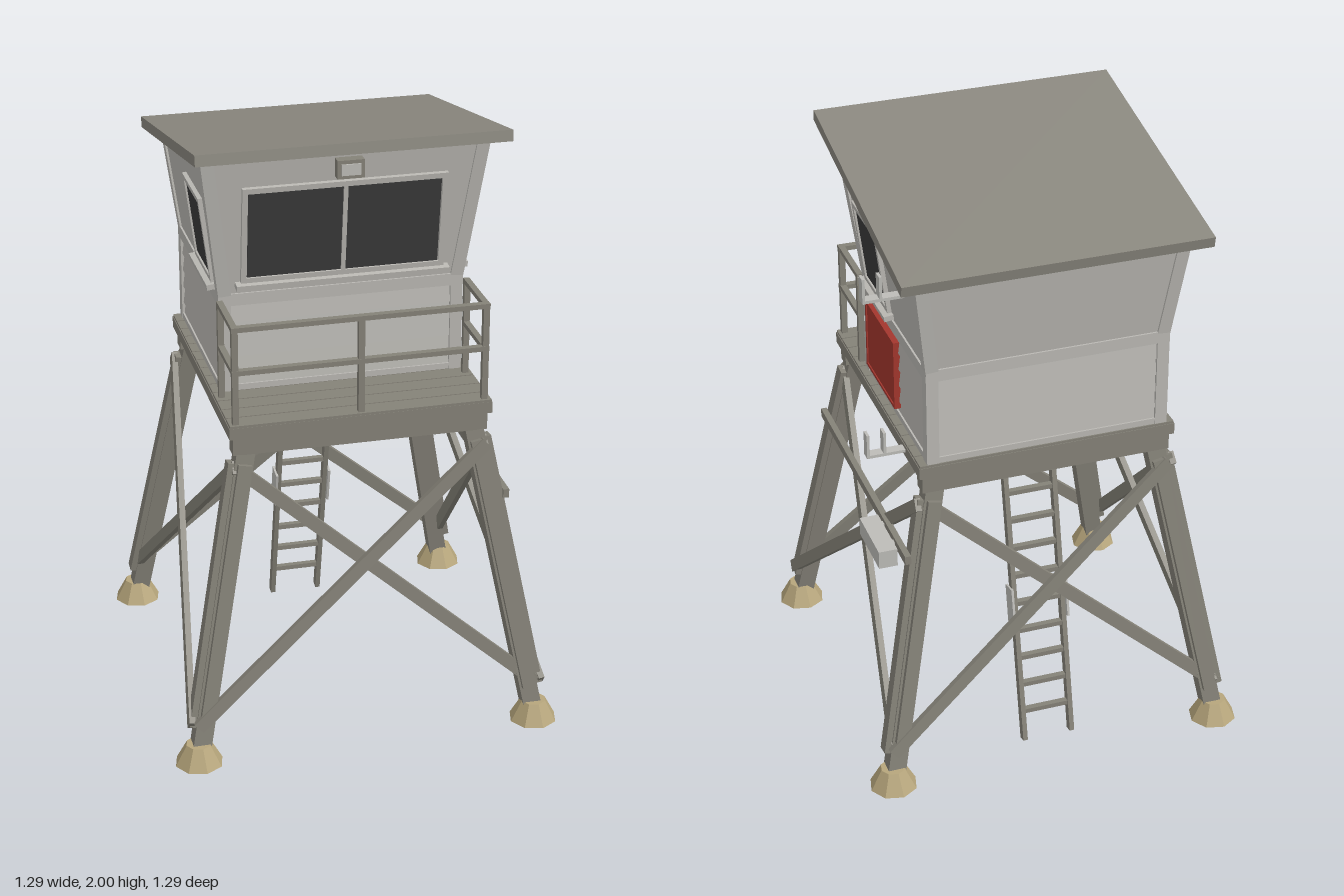
import * as THREE from 'three';

const mat = (name, color) => {
  const m = new THREE.MeshStandardMaterial({ color });
  m.name = name;
  return m;
};

export function createModel() {
  const root = new THREE.Group();
  root.name = 'watchTower';
  const wood = mat('weatheredWood', 0x858278);
  const roofing = mat('roofing', 0x8a877e);
  const wall = mat('paintedWall', 0xbab8b3);
  const metal = mat('paleMetal', 0xbdbcb8);
  const glass = mat('darkGlass', 0x3b3b3b);
  const red = mat('redPanel', 0xa3362d);
  const stone = mat('footing', 0xb7a67c);

  const group = (name, parent = root) => {
    const g = new THREE.Group();
    g.name = name;
    parent.add(g);
    return g;
  };
  const box = (parent, name, m, w, h, d, x, y, z) => {
    const b = new THREE.Mesh(new THREE.BoxGeometry(w, h, d), m);
    b.name = name;
    b.position.set(x, y, z);
    parent.add(b);
    return b;
  };
  // Straight timber between two points; w is its x size and d its z size when upright
  const beam = (parent, name, m, a, b, w, d) => {
    const p = new THREE.Vector3(...a), q = new THREE.Vector3(...b);
    const dir = q.clone().sub(p);
    const t = box(parent, name, m, w, dir.length(), d, 0, 0, 0);
    t.position.copy(p).add(q).multiplyScalar(0.5);
    t.quaternion.setFromUnitVectors(new THREE.Vector3(0, 1, 0), dir.normalize());
    return t;
  };

  // Legs with outer cladding planks, on octagonal footings
  const legAt = (y) => { // centre line of the +x +z leg
    const t = (1.05 - y) / 1.0;
    return [0.37 + 0.19 * t, y, 0.425 + 0.135 * t];
  };
  const legs = group('legs');
  for (const sx of [-1, 1]) for (const sz of [-1, 1]) {
    const at = (y, ox = 0, oz = 0) => {
      const [x, , z] = legAt(y);
      return [sx * (x + ox), y, sz * (z + oz)];
    };
    beam(legs, 'leg', wood, at(0.04), at(1.06), 0.06, 0.055);
    beam(legs, 'legSidePlank', wood, at(0.13, 0.04), at(1.0, 0.04), 0.022, 0.045);
    beam(legs, 'legFacePlank', wood, at(0.13, 0, 0.036), at(1.0, 0, 0.036), 0.045, 0.018);
    const foot = new THREE.Mesh(new THREE.CylinderGeometry(0.042, 0.08, 0.07, 8).toNonIndexed(), stone);
    foot.geometry.computeVertexNormals();
    foot.name = 'footing';
    foot.position.set(sx * 0.567, 0.035, sz * 0.567);
    foot.rotation.y = 0.15;
    legs.add(foot);
  }

  // Crossed braces on all four sides, the two of each pair lying in front of one another
  const braces = group('braces');
  for (const s of [-1, 1]) {
    beam(braces, 'outerBrace', wood, [-s * 0.57, 0.14, s * 0.588], [s * 0.41, 0.99, s * 0.472], 0.042, 0.02);
    beam(braces, 'innerBrace', wood, [s * 0.57, 0.14, s * 0.565], [-s * 0.41, 0.99, s * 0.45], 0.042, 0.02);
    beam(braces, 'outerSideBrace', wood, [s * 0.59, 0.14, 0.57], [s * 0.43, 0.99, -0.455], 0.02, 0.042);
    beam(braces, 'innerSideBrace', wood, [s * 0.565, 0.14, -0.57], [s * 0.408, 0.99, 0.455], 0.02, 0.042);
  }
  box(braces, 'sideRail', wood, 0.02, 0.03, 0.975, 0.475, 0.808, 0.003);

  // Deck: cross beams, slab and planks
  const deck = group('deck');
  for (const z of [-0.43, 0.428]) box(deck, 'crossBeam', wood, 0.83, 0.06, 0.055, 0, 1.06, z);
  box(deck, 'deckSlab', wood, 0.855, 0.038, 0.936, 0, 1.109, -0.002);
  for (let i = 0; i < 14; i++)
    box(deck, 'plank', wood, 0.85, 0.01, 0.062, 0, 1.131, 0.434 - i * 0.067);

  // Balcony railing, open towards the cabin
  const railing = group('railing');
  for (const x of [-0.404, 0, 0.404]) box(railing, 'frontPost', wood, 0.02, 0.32, 0.02, x, 1.295, 0.446);
  for (const x of [-0.404, 0.404]) box(railing, 'backPost', wood, 0.02, 0.32, 0.018, x, 1.295, 0.237);
  for (const y of [1.31, 1.455]) {
    box(railing, 'frontRail', wood, 0.83, 0.016, 0.022, 0, y, 0.446);
    for (const x of [-0.404, 0.404]) box(railing, 'sideRailing', wood, 0.02, 0.016, 0.225, x, y, 0.341);
  }

  // Lower cabin: core, lapped boards, corner boards and belt
  const cabin = group('cabin');
  const HX = 0.395, ZF = 0.195, ZB = -0.46, ZC = (ZF + ZB) / 2, HZ = (ZF - ZB) / 2;
  box(cabin, 'lowerCore', wall, 2 * HX - 0.02, 0.34, 2 * HZ - 0.02, 0, 1.3, ZC);
  for (let k = 0; k < 4; k++) {
    const side = k % 2 === 1;
    const g = group('siding', cabin);
    g.position.set(0, 0, ZC);
    g.rotation.y = k * Math.PI / 2;
    const half = side ? HZ : HX, out = side ? HX : HZ;
    for (let i = 0; i < 5; i++) {
      const b = box(g, 'lappedBoard', wall, 2 * half - 0.05, 0.06, 0.01, 0, 1.165 + i * 0.059, out - 0.008);
      b.rotation.x = -0.13;
    }
    box(g, 'beltBoard', wall, 2 * half + 0.012, 0.04, 0.014, 0, 1.45, out);
    box(g, 'baseBoard', wall, 2 * half, 0.02, 0.012, 0, 1.146, out - 0.002);
  }

  // Upper cabin: walls flare outwards and the top follows the roof
  const Y0 = 1.465, FL = 0.13, YF = 1.945, YBk = 1.805;
  const flare = (y) => FL * (y - Y0);
  const upperGeo = new THREE.BoxGeometry(2, 2, 2);
  const p = upperGeo.attributes.position;
  for (let i = 0; i < p.count; i++) {
    const front = p.getZ(i) > 0;
    const y = p.getY(i) < 0 ? Y0 : front ? YF : YBk;
    p.setXYZ(i, Math.sign(p.getX(i)) * (HX + flare(y)), y, front ? ZF + flare(y) : ZB - flare(y));
  }
  upperGeo.computeVertexNormals();
  const upper = new THREE.Mesh(upperGeo, wall);
  upper.name = 'upperWalls';
  cabin.add(upper);
  for (const sx of [-1, 1]) for (const f of [true, false]) {
    const top = f ? YF - 0.01 : YBk - 0.01, inset = 0.014;
    const at = (y) => [sx * (HX + flare(y) - inset), y, f ? ZF + flare(y) - inset : ZB - flare(y) + inset];
    beam(cabin, 'upperCornerBoard', wall, at(Y0), at(top), 0.042, 0.042);
    beam(cabin, 'lowerCornerBoard', wall, [at(Y0)[0], 1.13, at(Y0)[2]], at(Y0), 0.04, 0.04);
  }

  // Windows: framed panes laid on the leaning walls
  const windowUnit = (name, w, h, panes, yaw, pos) => {
    const g = group(name, cabin);
    g.position.set(...pos);
    g.rotation.set(Math.atan(FL), yaw, 0, 'YXZ');
    const F = 0.018;
    for (const s of [-1, 1]) {
      box(g, 'frameSide', wall, F, h + 2 * F, 0.02, s * (w + F) / 2, 0, 0.004);
      box(g, 'frameBar', wall, w, F, 0.02, 0, s * (h + F) / 2, 0.004);
    }
    const pw = w / panes;
    for (let i = 0; i < panes; i++) {
      box(g, 'pane', glass, pw - 0.004, h, 0.008, -w / 2 + pw * (i + 0.5), 0, 0.004);
      if (i) box(g, 'mullion', wall, 0.014, h, 0.02, -w / 2 + pw * i, 0, 0.004);
    }
    box(g, 'sill', wall, w + 0.07, 0.018, 0.04, 0, -h / 2 - F - 0.008, 0.012);
  };
  windowUnit('frontWindow', 0.625, 0.295, 2, 0, [0, 1.673, ZF + flare(1.673)]);
  for (const s of [-1, 1])
    windowUnit('sideWindow', 0.218, 0.25, 1, s * Math.PI / 2, [s * (HX + flare(1.635)), 1.635, 0.016]);

  // Red board on the left wall
  const board = group('redBoard');
  box(board, 'board', red, 0.02, 0.235, 0.305, 0.398, 1.29, -0.005);
  for (const s of [-1, 1]) {
    box(board, 'boardEdge', red, 0.026, 0.01, 0.31, 0.399, 1.29 + s * 0.115, -0.005);
    box(board, 'boardEnd', red, 0.026, 0.24, 0.01, 0.399, 1.29, -0.005 + s * 0.15);
  }

  // Roof slab
  const roof = box(root, 'roof', roofing, 1.0, 0.036, 0.945, 0, 1.893, -0.092);
  roof.rotation.x = -Math.atan(0.19);

  // Lamp above the front window
  const lamp = group('lamp');
  box(lamp, 'lampArm', wood, 0.03, 0.025, 0.05, 0, 1.9, 0.265);
  box(lamp, 'lampHousing', wood, 0.086, 0.06, 0.035, 0, 1.893, 0.295);
  box(lamp, 'lampLens', metal, 0.062, 0.036, 0.008, 0, 1.893, 0.314);

  // Storage hooks on the left wall
  for (const y of [1.657, 1.107]) {
    const hook = group('storageHook');
    box(hook, 'hookArm', metal, 0.155, 0.01, 0.034, 0.476, y + 0.005, -0.307);
    for (const x of [0.495, 0.549]) box(hook, 'hookProng', metal, 0.009, 0.083, 0.034, x, y + 0.042, -0.307);
  }

  // Equipment box on the side rail
  const kit = group('equipmentBox');
  box(kit, 'boxBody', metal, 0.062, 0.062, 0.213, 0.52, 0.78, -0.308);
  for (const z of [-0.25, -0.365]) box(kit, 'boxBracket', metal, 0.03, 0.02, 0.02, 0.485, 0.8, z);

  // Ladder up to the underside of the deck, with splice plates
  const ladder = group('ladder');
  const ladderZ = (y) => -0.487 + 0.222 * y;
  for (const s of [-1, 1]) {
    beam(ladder, 'ladderRail', wood, [s * 0.083, 0.003, ladderZ(0)], [s * 0.083, 1.09, ladderZ(1.09)], 0.016, 0.03);
    const plate = box(ladder, 'splicePlate', metal, 0.008, 0.13, 0.06, s * 0.094, 0.48, ladderZ(0.48));
    plate.rotation.x = Math.atan(0.222);
  }
  for (let i = 0; i < 10; i++) {
    const y = 0.105 + i * 0.095;
    box(ladder, 'rung', wood, 0.16, 0.016, 0.02, 0, y, ladderZ(y));
  }
  return root;
}
